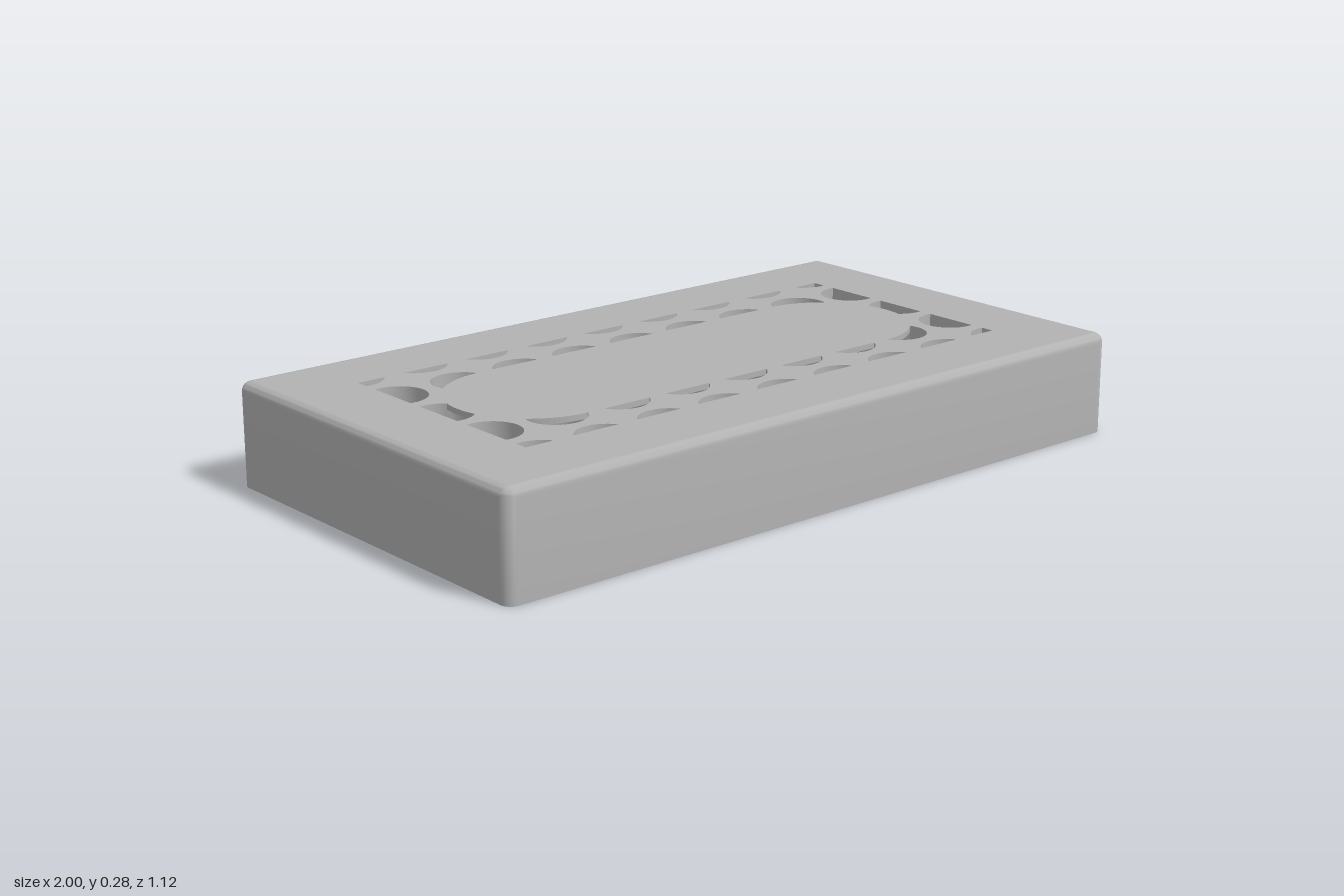
import * as THREE from 'three';
import { toCreasedNormals } from 'three/addons/utils/BufferGeometryUtils.js';

const W = 1, D = 0.56, H = 0.275;        // half width, half depth, height
const WALL = 0.037, CEILING = 0.227;     // wall thickness, underside of the top
const FILLET = 0.025, CORNER = 0.03;
const PITCH = 0.1925, HOLE_R = 0.078;    // grille holes
const WIN_X = 0.783, WIN_Z = 0.345;      // window that trims the grille

// Rounded rectangle, inset from the outside, as counter-clockwise points
function roundedRect(inset, steps = 6) {
  const r = Math.max(CORNER - inset, 0.004), pts = [];
  [[1, 1], [-1, 1], [-1, -1], [1, -1]].forEach(([sx, sy], q) => {
    for (let i = 0; i <= steps; i++) {
      const a = (q + i / steps) * Math.PI / 2;
      pts.push(new THREE.Vector2(
        sx * (W - inset - r) + r * Math.cos(a),
        sy * (D - inset - r) + r * Math.sin(a)));
    }
  });
  return pts;
}

// Keep the part of a polygon where sign * p[axis] <= limit
function clip(pts, axis, sign, limit) {
  const out = [];
  pts.forEach((p, i) => {
    const q = pts[(i + 1) % pts.length];
    const dp = limit - sign * p[axis], dq = limit - sign * q[axis];
    if (dp >= 0) out.push(p);
    if (dp * dq < 0) out.push(p.clone().lerp(q, dp / (dp - dq)));
  });
  return out;
}

// Extrude a flat shape upwards from y0 to y1
function slab(shape, y0, y1) {
  const geo = new THREE.ExtrudeGeometry(shape, { depth: y1 - y0, bevelEnabled: false, curveSegments: 32 });
  geo.rotateX(-Math.PI / 2).translate(0, y0, 0);
  return toCreasedNormals(geo, 0.6);
}

// Walls: inner face, bottom rim, outer face and rounded top edge in one loft
function wallGeometry() {
  const profile = [[WALL, CEILING], [WALL, 0], [0, 0]];
  for (let i = 0; i <= 6; i++) {
    const a = i / 6 * Math.PI / 2;
    profile.push([FILLET * (1 - Math.cos(a)), H - FILLET + FILLET * Math.sin(a)]);
  }
  const pos = [], index = [];
  const n = roundedRect(0).length;
  profile.forEach(([inset, y]) => roundedRect(inset).forEach(p => pos.push(p.x, y, -p.y)));
  for (let j = 0; j < profile.length - 1; j++) {
    for (let i = 0; i < n; i++) {
      const k = (i + 1) % n;
      const a = j * n + i, b = j * n + k, c = b + n, d = a + n;
      index.push(a, b, c, a, c, d);
    }
  }
  const geo = new THREE.BufferGeometry();
  geo.setAttribute('position', new THREE.Float32BufferAttribute(pos, 3));
  geo.setIndex(index);
  return toCreasedNormals(geo, 0.6);
}

// Top panel with a square grid of round holes trimmed to the window
function grilleGeometry() {
  const shape = new THREE.Shape(roundedRect(FILLET));
  for (let row = -2; row <= 2; row++) {
    for (let col = -4; col <= 4; col++) {
      let pts = [];
      for (let i = 0; i < 40; i++) {
        const a = (i + 0.5) / 40 * Math.PI * 2;
        pts.push(new THREE.Vector2(col * PITCH + HOLE_R * Math.cos(a), row * PITCH + HOLE_R * Math.sin(a)));
      }
      for (const s of [1, -1]) {
        pts = clip(pts, 'x', s, WIN_X);
        pts = clip(pts, 'y', s, WIN_Z);
      }
      shape.holes.push(new THREE.Path(pts.reverse()));
    }
  }
  return slab(shape, CEILING, H);
}

// Thin pill-shaped plate closing the middle holes from above
function coverGeometry() {
  const shape = new THREE.Shape();
  shape.absarc(0.5, 0, 0.225, -Math.PI / 2, Math.PI / 2, false);
  shape.absarc(-0.5, 0, 0.225, Math.PI / 2, Math.PI * 1.5, false);
  shape.closePath();
  return slab(shape, H - 0.015, H);
}

export function createModel() {
  const grey = new THREE.MeshStandardMaterial({ color: 0xb2b2b2 });
  grey.name = 'grey plastic';
  const group = new THREE.Group();
  group.name = 'ventedLid';
  const add = (name, geo) => {
    const mesh = new THREE.Mesh(geo, grey);
    mesh.name = name;
    group.add(mesh);
    return mesh;
  };

  add('walls', wallGeometry());
  add('grillePanel', grilleGeometry());
  add('centreCover', coverGeometry());

  // Snap bumps on the inside of the long walls
  const bump = new THREE.SphereGeometry(0.025, 20, 14);
  for (const x of [-0.51, 0.51]) {
    for (const side of [1, -1]) {
      add(side > 0 ? 'frontSnapBump' : 'backSnapBump', bump).position.set(x, 0.112, side * (D - WALL));
    }
  }
  return group;
}
